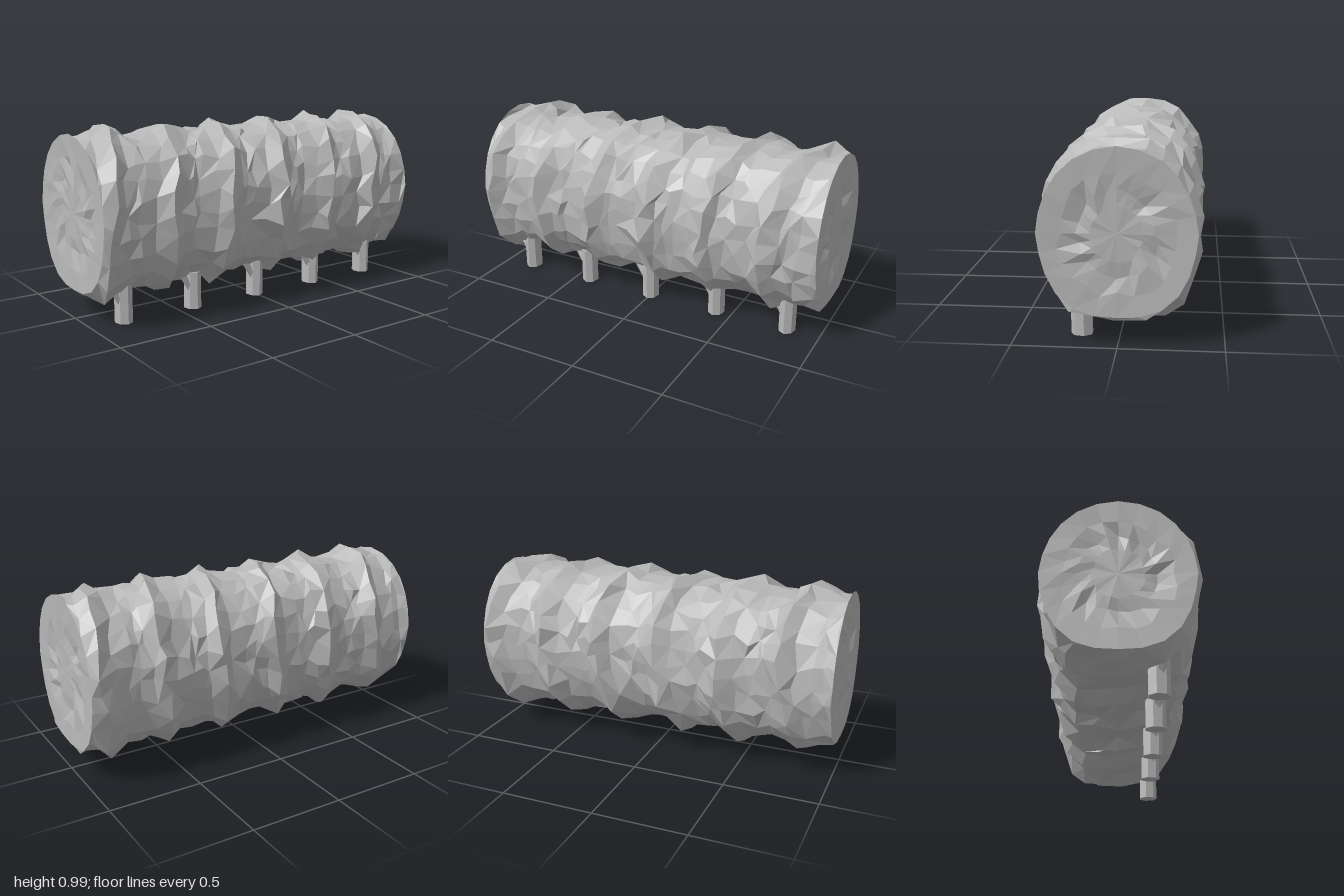
import * as THREE from 'three';

const N = 24;            // sides around the log
const PITCH = 0.335;     // spacing of the bark ridges
const BANDS = 8;
const X0 = -1.345;
const CY = 0.545;

// One bark band: [fraction of pitch, height above the base surface]
const BAND = [[0, -0.014], [0.27, -0.008], [0.5, 0.034], [0.7, -0.004], [0.86, -0.014]];

// Repeatable noise in -1..1
function noise(a, b, c) {
  const v = Math.sin(a * 127.1 + b * 311.7 + c * 74.7) * 43758.5453;
  return (v - Math.floor(v)) * 2 - 1;
}

// Rounded section, squarer and deeper underneath; swell pushes it outward
function section(angle, swell) {
  const c = Math.cos(angle), s = Math.sin(angle);
  const n = s > 0 ? 2.2 : 2.6;
  const height = s > 0 ? 0.4 : 0.425;
  const k = Math.pow(Math.pow(Math.abs(c) / 0.357, n) + Math.pow(Math.abs(s) / height, n), -1 / n) + swell;
  return { y: CY + s * k, z: c * k };
}

// Outline of the cut ends, flatter below and narrower at the shoulders
function endSection(angle) {
  const c = Math.cos(angle), s = Math.sin(angle);
  return section(angle, 0.012 + 0.042 * Math.min(0, s) - 0.02 * Math.max(0, s) * Math.abs(c) - 0.01 * Math.max(0, s));
}

// Point on a slanted bark ring
function barkPoint(step, ring) {
  step %= N;
  const [frac, lift] = BAND[ring % BAND.length];
  const angle = step / N * Math.PI * 2;
  const slant = -0.115 * Math.cos(angle) + 0.035 * Math.sin(angle);
  const x = X0 + PITCH * (Math.floor(ring / BAND.length) + frac) + slant + 0.022 * noise(step, ring, 1);
  if (Math.abs(x) >= 1) {
    const e = endSection(angle);
    return new THREE.Vector3(Math.sign(x), e.y, e.z);
  }
  const p = section(angle + 0.07 * noise(step, ring, 2), lift + 0.014 * noise(step, ring, 3));
  return new THREE.Vector3(x, p.y, p.z);
}

function facetedGeometry(triangles) {
  const g = new THREE.BufferGeometry().setFromPoints(triangles.flat());
  g.computeVertexNormals();
  return g;
}

function barkGeometry() {
  const tris = [];
  // Skip triangles lying wholly in an end plane
  const add = (a, b, c) => {
    if (!(a.x === b.x && b.x === c.x)) tris.push([a, b, c]);
  };
  for (let s = 0; s < N; s++) {
    for (let r = 0; r < BANDS * BAND.length; r++) {
      const a = barkPoint(s, r), b = barkPoint(s, r + 1);
      const c = barkPoint(s + 1, r + 1), d = barkPoint(s + 1, r);
      if ((s + r) % 2) { add(a, b, c); add(a, c, d); }
      else { add(a, b, d); add(b, c, d); }
    }
  }
  return facetedGeometry(tris);
}

// Cut end with shallow radial pleats around a flat heart
function endGeometry(side) {
  const scale = [1, 0.72, 0.5, 0.33];
  const dent = [0, 0.004, 0.012, 0.01];
  const rough = [0, 0.004, 0.018, 0.003];
  const at = (ring, j) => {
    j %= N;
    const e = endSection(j / N * Math.PI * 2);
    const k = scale[ring] * (ring ? 1 + 0.08 * noise(j, ring, 5 + side) : 1);
    const depth = dent[ring] + rough[ring] * noise(j, ring, 9 + side);
    return new THREE.Vector3(side * (1 - Math.max(0, depth)), CY + (e.y - CY) * k, e.z * k);
  };
  const heart = new THREE.Vector3(side * 0.99, CY, 0);
  const tris = [];
  const add = (a, b, c) => tris.push(side > 0 ? [a, c, b] : [a, b, c]);
  for (let j = 0; j < N; j++) {
    for (let r = 0; r < 3; r++) {
      add(at(r, j), at(r, j + 1), at(r + 1, j));
      add(at(r, j + 1), at(r + 1, j + 1), at(r + 1, j));
    }
    add(at(3, j), at(3, j + 1), heart);
  }
  return facetedGeometry(tris);
}

export function createModel() {
  const model = new THREE.Group();
  model.name = 'log';
  const grey = new THREE.MeshStandardMaterial({ color: 0xb8b8b8, flatShading: true });
  grey.name = 'grey';
  const add = (parent, name, geometry) => {
    const mesh = new THREE.Mesh(geometry, grey);
    mesh.name = name;
    parent.add(mesh);
    return mesh;
  };

  add(model, 'bark', barkGeometry());
  add(model, 'leftEnd', endGeometry(1));
  add(model, 'rightEnd', endGeometry(-1));

  // Row of pegs below the front, each with a small side twig
  for (let i = -2; i <= 2; i++) {
    const peg = new THREE.Group();
    peg.name = 'peg';
    peg.position.set(i * 0.41, 0, 0.185);
    const stem = new THREE.CylinderGeometry(0.045, 0.045, 0.2, 7);
    stem.scale(1, 1, 1.22);
    add(peg, 'stem', stem).position.y = 0.1;
    const twig = add(peg, 'twig', new THREE.CylinderGeometry(0.016, 0.024, 0.13, 5));
    twig.position.set(-0.042, 0.145, 0.015);
    twig.rotation.z = 0.6;
    model.add(peg);
  }
  return model;
}
